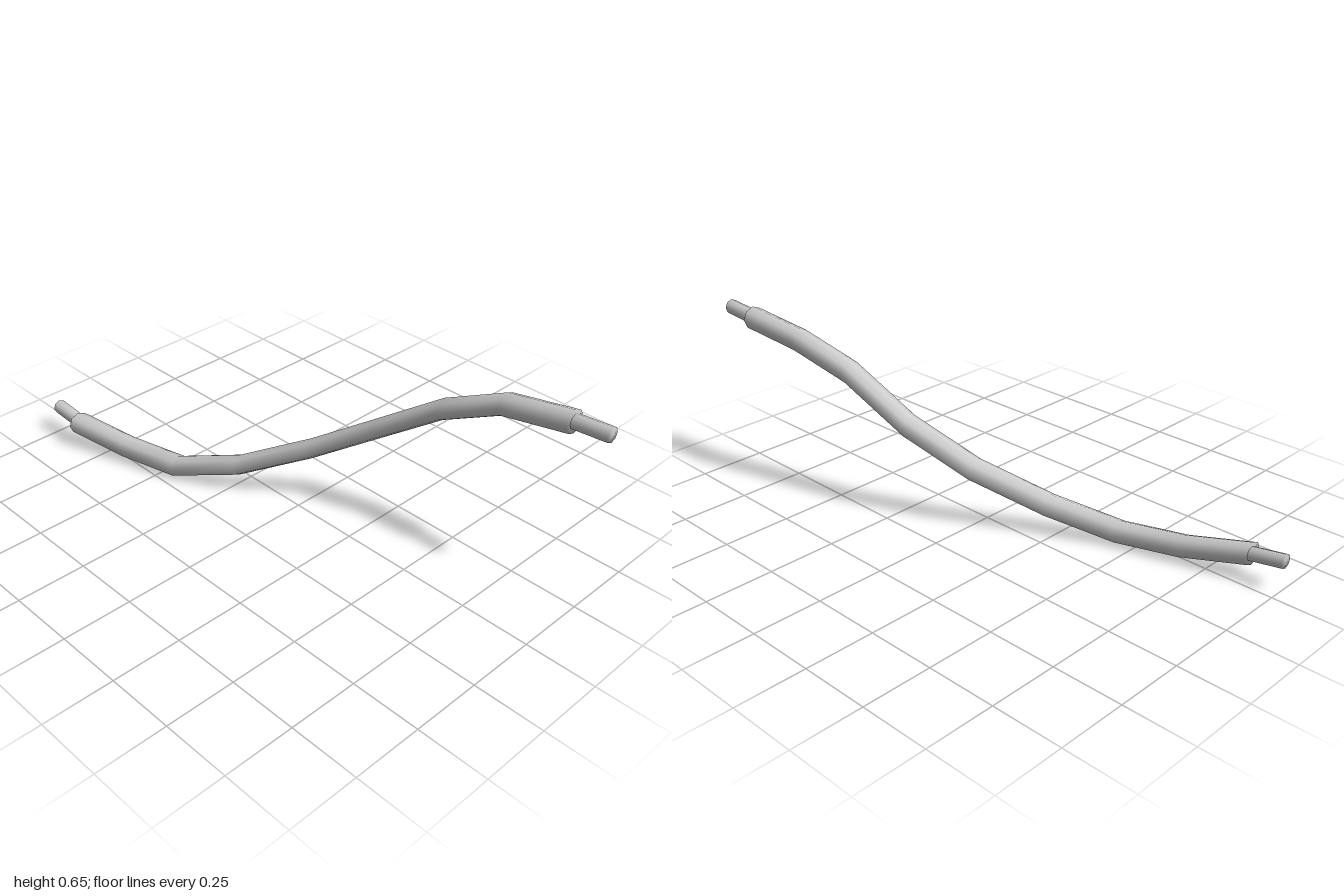
import * as THREE from 'three';

const SIDES = 8;

// Sweeps an upright octagonal ring (in the yz plane) along points ordered by rising x, closed at both ends.
function sweep(name, points, radius, material) {
  const positions = [], index = [];
  for (const [x, y, z] of points) {
    for (let i = 0; i < SIDES; i++) {
      const a = (i / SIDES) * Math.PI * 2;
      positions.push(x, y + radius * Math.cos(a), z + radius * Math.sin(a));
    }
  }
  for (let r = 0; r < points.length - 1; r++) {
    for (let i = 0; i < SIDES; i++) {
      const j = (i + 1) % SIDES;
      const a = r * SIDES + i, b = r * SIDES + j;
      index.push(a, b, a + SIDES, b, b + SIDES, a + SIDES);
    }
  }
  // End caps
  const last = (points.length - 1) * SIDES;
  const start = points.length * SIDES;
  positions.push(...points[0], ...points[points.length - 1]);
  for (let i = 0; i < SIDES; i++) {
    const j = (i + 1) % SIDES;
    index.push(start, j, i, start + 1, last + i, last + j);
  }
  const geometry = new THREE.BufferGeometry();
  geometry.setAttribute('position', new THREE.Float32BufferAttribute(positions, 3));
  geometry.setIndex(index);
  geometry.computeVertexNormals();
  const mesh = new THREE.Mesh(geometry, material);
  mesh.name = name;
  return mesh;
}

export function createModel() {
  const model = new THREE.Group();
  model.name = 'cable';
  const material = new THREE.MeshStandardMaterial({ color: 0xcccccc });

  // Thick outer sheath, bent in straight segments
  model.add(sweep('sheath', [
    [-0.88, 0.085, 0.31], [-0.66, 0.05, 0.247], [-0.44, 0.042, 0.186],
    [-0.22, 0.103, 0.077], [0, 0.213, -0.063], [0.21, 0.344, -0.169],
    [0.435, 0.495, -0.23], [0.635, 0.577, -0.288], [0.87, 0.607, -0.312],
  ], 0.042, material));

  // Thin wire core sticking out of both ends
  model.add(sweep('rightCore', [[-1, 0.105, 0.312], [-0.86, 0.085, 0.304]], 0.026, material));
  model.add(sweep('leftCore', [[0.85, 0.608, -0.313], [1, 0.619, -0.313]], 0.027, material));
  return model;
}
